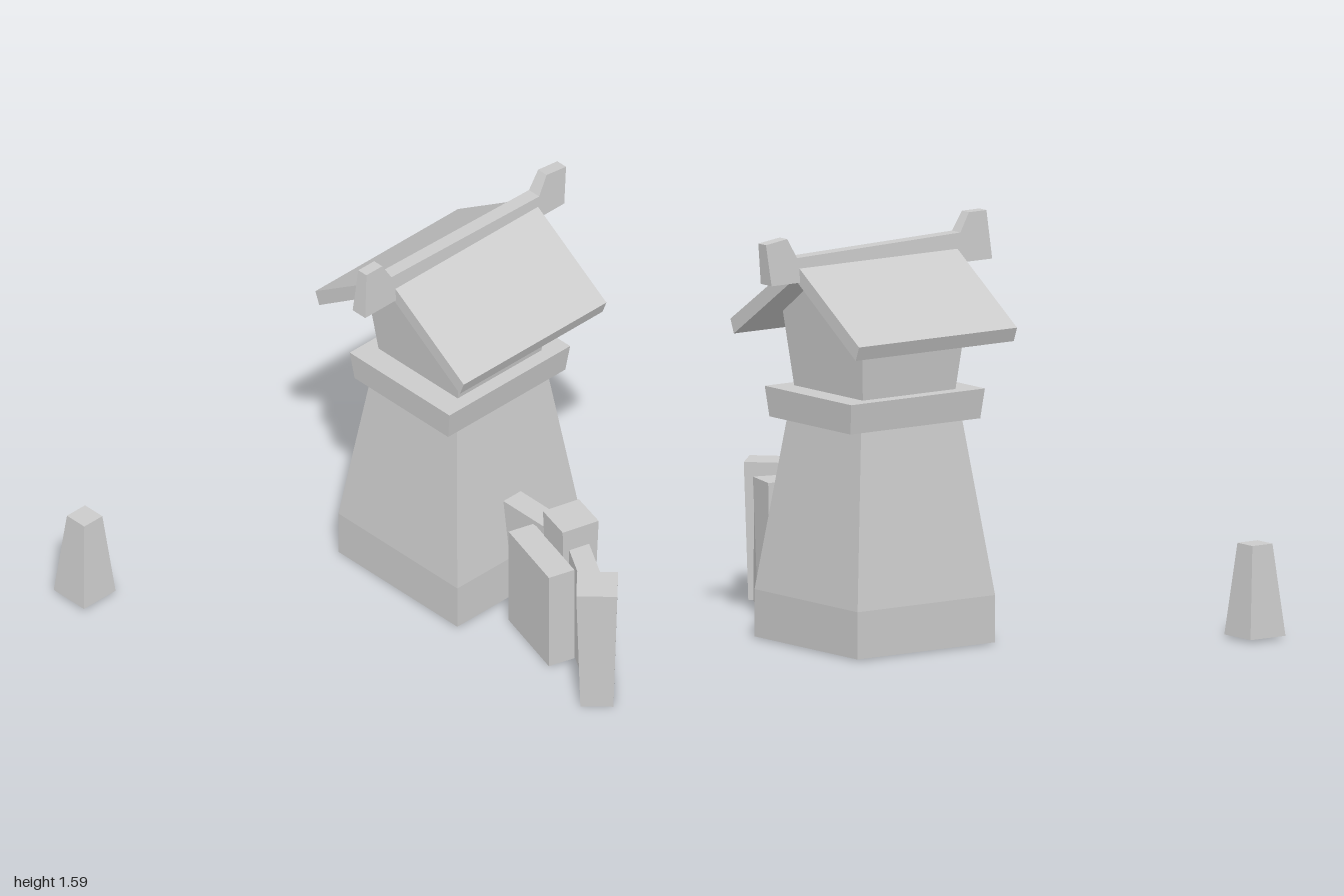
import * as THREE from 'three';

const mat = new THREE.MeshStandardMaterial({ color: 0xcccccc, flatShading: true });
const openMat = mat.clone();
openMat.side = THREE.DoubleSide;

// Rectangular tower through rings [y, halfX, halfZ]; open leaves out the bottom face
function loft(rings, open) {
  const n = rings.length - 1;
  const geo = new THREE.BoxGeometry(2, n, 2, 1, n, 1);
  const p = geo.attributes.position;
  for (let i = 0; i < p.count; i++) {
    const [y, hx, hz] = rings[Math.round(p.getY(i) + n / 2)];
    p.setXYZ(i, p.getX(i) * hx, y, p.getZ(i) * hz);
  }
  if (open) {
    const g = geo.groups[3];
    const index = Array.from(geo.index.array);
    index.splice(g.start, g.count);
    geo.setIndex(index);
    geo.clearGroups();
  }
  geo.computeVertexNormals();
  return geo;
}

// Outline of [a, y] points pushed out to a depth centred on zero
function slab(points, depth) {
  const shape = new THREE.Shape(points.map(([a, y]) => new THREE.Vector2(a, y)));
  return new THREE.ExtrudeGeometry(shape, { depth, bevelEnabled: false }).translate(0, 0, -depth / 2);
}

function add(group, name, geo, x, z, turn = 0, material = mat) {
  const mesh = new THREE.Mesh(geo, material);
  mesh.name = name;
  mesh.position.set(x, 0, z);
  mesh.rotation.y = turn;
  group.add(mesh);
  return mesh;
}

export function createModel() {
  const model = new THREE.Group();
  model.name = 'watchtower';

  // Tower, centred on its own axis
  const tower = new THREE.Group();
  tower.name = 'tower';
  tower.position.set(0.365, 0, -0.113);
  model.add(tower);

  add(tower, 'towerBody', loft([[0.01, 0.322, 0.323], [0.19, 0.322, 0.323], [0.86, 0.236, 0.23]], true), 0, 0, 0, openMat);
  add(tower, 'balcony', loft([[0.855, 0.304, 0.254], [0.97, 0.313, 0.271]]), 0, 0);

  // Gabled upper room, flaring slightly towards the eaves
  const room = slab([[-0.214, 0.96], [0.214, 0.96], [0.249, 1.255], [0, 1.425], [-0.249, 1.255]], 2);
  const rp = room.attributes.position;
  for (let i = 0; i < rp.count; i++) {
    rp.setZ(i, rp.getZ(i) * (0.216 + 0.1 * (rp.getY(i) - 0.96)));
  }
  room.computeVertexNormals();
  add(tower, 'upperRoom', room, 0, 0, Math.PI / 2);

  // Roof: two sloping slabs meeting at the ridge
  for (const s of [1, -1]) {
    const pts = [[0, 1.42], [0.382, 1.16], [0.403, 1.214], [0, 1.483]];
    add(tower, s > 0 ? 'frontRoof' : 'backRoof', slab(pts, 0.74), 0.005, 0, -s * Math.PI / 2);
  }

  // Ridge beam with upturned ends, thinner towards the top
  const ridge = slab([
    [-0.16, 1.41], [0.873, 1.41], [0.892, 1.567], [0.792, 1.58],
    [0.749, 1.504], [-0.017, 1.523], [-0.06, 1.595], [-0.142, 1.595],
  ], 2);
  const p = ridge.attributes.position;
  for (let i = 0; i < p.count; i++) {
    p.setZ(i, p.getZ(i) * (0.034 - 0.065 * (p.getY(i) - 1.41)));
  }
  ridge.computeVertexNormals();
  add(model, 'ridgeBeam', ridge, 0, -0.112);

  // Fence posts, wider at the top
  for (const [x, z, turn] of [[0.347, 0.508, -0.26], [0.125, 0.884, Math.PI / 4]]) {
    add(model, 'fencePost', loft([[0.007, 0.062, 0.062], [0.535, 0.077, 0.077]], true), x, z, turn, openMat);
  }

  // Fence walls between two ground points
  function wall(x0, z0, x1, z1, width, height) {
    const half = Math.hypot(x1 - x0, z1 - z0) / 2;
    const geo = loft([[0.005, width / 2, half], [height, width / 2, half]], true);
    add(model, 'fenceWall', geo, (x0 + x1) / 2, (z0 + z1) / 2, Math.atan2(x1 - x0, z1 - z0), openMat);
  }
  wall(0.152, 0.868, 0.34, 0.55, 0.082, 0.44);
  wall(0.36, 0.5, 0.36, 0.08, 0.09, 0.44);
  wall(0.178, 0.635, 0.268, 0.322, 0.108, 0.42);

  // Lone stone post standing apart
  add(model, 'lonePost', loft([[0.015, 0.082, 0.082], [0.365, 0.047, 0.047]]), -0.816, -0.915);

  return model;
}
